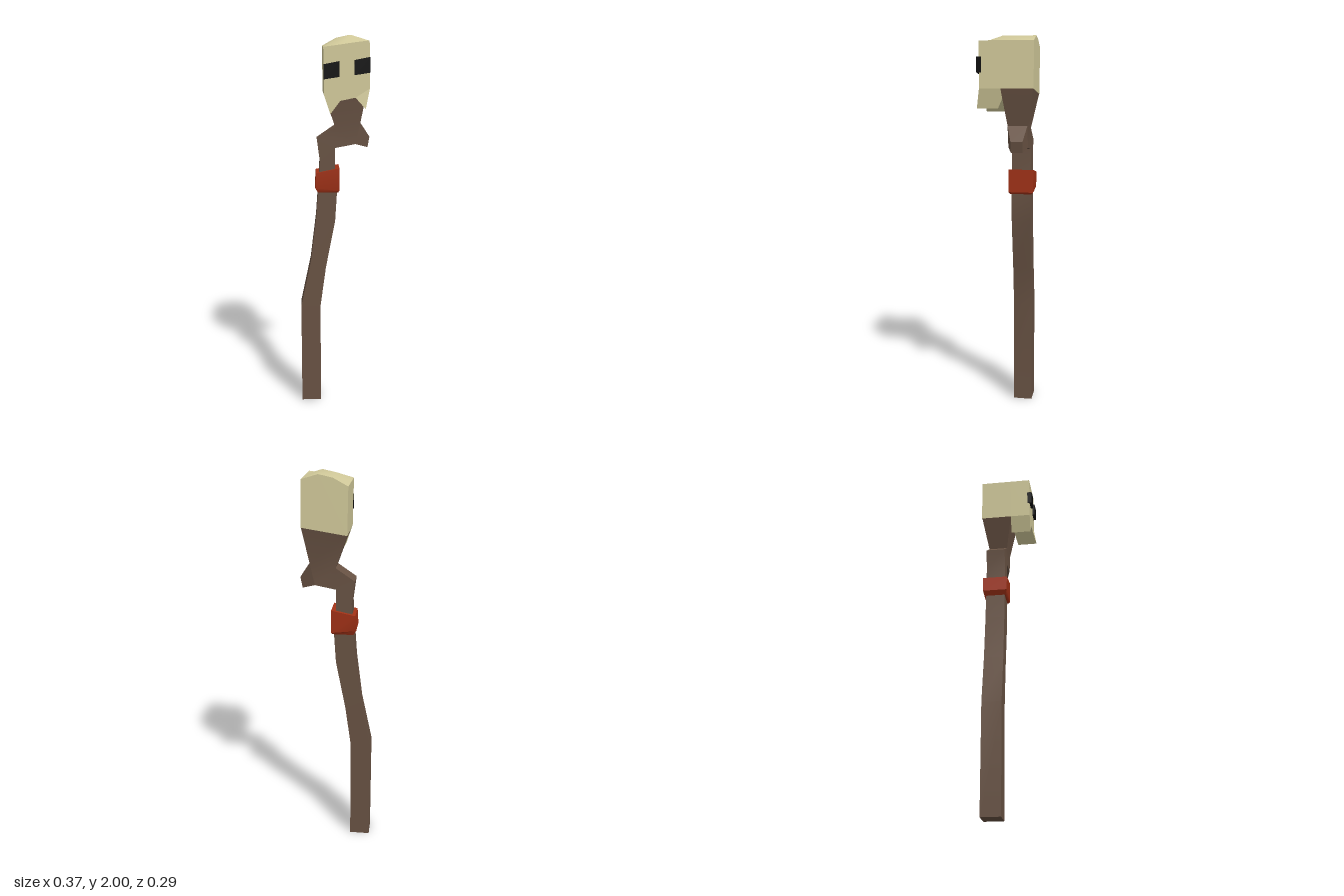
import * as THREE from 'three';
import { toCreasedNormals } from 'three/addons/utils/BufferGeometryUtils.js';

const wood = new THREE.MeshStandardMaterial({ color: 0x695344 });
const bone = new THREE.MeshStandardMaterial({ color: 0xd3cb9b });
const cloth = new THREE.MeshStandardMaterial({ color: 0xa23217 });
const black = new THREE.MeshStandardMaterial({ color: 0x0a0a0a });

// Skin a series of equal-length rings and cap both ends
function loft(rings) {
  const n = rings[0].length, index = [];
  rings.slice(1).forEach((_, r) => {
    for (let i = 0; i < n; i++) {
      const a = r * n + i, b = r * n + (i + 1) % n;
      index.push(a, b, b + n, a, b + n, a + n);
    }
  });
  const end = (rings.length - 1) * n;
  for (let i = 1; i < n - 1; i++) index.push(0, i + 1, i, end, end + i, end + i + 1);
  const geo = new THREE.BufferGeometry();
  geo.setAttribute('position', new THREE.Float32BufferAttribute(rings.flat(2), 3));
  geo.setIndex(index);
  return toCreasedNormals(geo, 0.6);
}

// Four-cornered ring: left edge, right edge, front z and back z
const quad = ([xl, yl, xr, yr, zf = -0.01, zb = -0.11]) =>
  [[xl, yl, zf], [xr, yr, zf], [xr, yr, zb], [xl, yl, zb]];

function extrude(points, depth, z) {
  const shape = new THREE.Shape(points.map(([x, y]) => new THREE.Vector2(x, y)));
  return new THREE.ExtrudeGeometry(shape, { depth, bevelEnabled: false }).translate(0, 0, z);
}

export function createModel() {
  const model = new THREE.Group();
  const add = (name, geometry, material) => {
    const mesh = new THREE.Mesh(geometry, material);
    mesh.name = name;
    model.add(mesh);
  };

  // Crooked shaft, widening into the fork that carries the skull
  add('shaft', loft([
    [-0.185, 0, -0.08, 0],
    [-0.185, 0.56, -0.08, 0.56],
    [-0.13, 0.82, -0.05, 0.78],
    [-0.10, 1.06, 0, 1.04],
    [-0.09, 1.2, 0.01, 1.2],
    [-0.08, 1.36, 0, 1.32],
    [-0.095, 1.475, 0, 1.43],
    [0, 1.54, 0.105, 1.45],
    [0, 1.54, 0.13, 1.56],
    [-0.06, 1.71, 0.165, 1.745, 0.02, -0.143],
  ].map(quad)), wood);

  // Short broken branch
  add('branchStub', loft([
    [0.13, 1.56, 0.105, 1.45],
    [0.18, 1.485, 0.17, 1.43, -0.033, -0.093],
  ].map(quad)), wood);

  // Wrapped band with a bevelled lower edge
  add('band', loft([
    [-0.09, 1.195, 0.015, 1.195, -0.005, -0.115],
    [-0.105, 1.22, 0.022, 1.205, 0.003, -0.125],
    [-0.10, 1.3, 0.022, 1.325, 0.003, -0.128],
  ].map(quad)), cloth);

  // Skull: arched at the back, flat-topped at the face
  const skullRing = (z, y1, y2) => [
    [-0.06, 1.71, z], [0.166, 1.745, z], [0.162, 1.975, z],
    [0.08, y1, z], [0.01, y2, z], [-0.064, 1.945, z],
  ];
  add('skull', loft([
    skullRing(-0.145, 2, 1.985),
    skullRing(0.02, 2, 1.985),
    skullRing(0.127, 1.965, 1.955),
  ]), bone);

  // Notched upper jaw, its left tip pushed forward
  const jaw = extrude([
    [-0.06, 1.71], [-0.03, 1.62], [0.02, 1.685],
    [0.095, 1.7], [0.145, 1.645], [0.166, 1.745],
  ], 0.107, 0.02);
  const p = jaw.attributes.position;
  for (let i = 0; i < p.count; i++) {
    if (Math.abs(p.getX(i) - 0.145) < 0.001) p.setZ(i, p.getZ(i) + 0.016);
  }
  jaw.computeVertexNormals();
  add('jaw', jaw, bone);

  // Slanted square eyes
  for (const [name, x, y] of [['rightEye', -0.063, 1.79], ['leftEye', 0.089, 1.81]]) {
    add(name, extrude([
      [x, y], [x + 0.077, y + 0.012], [x + 0.077, y + 0.087], [x, y + 0.072],
    ], 0.025, 0.115), black);
  }
  return model;
}
